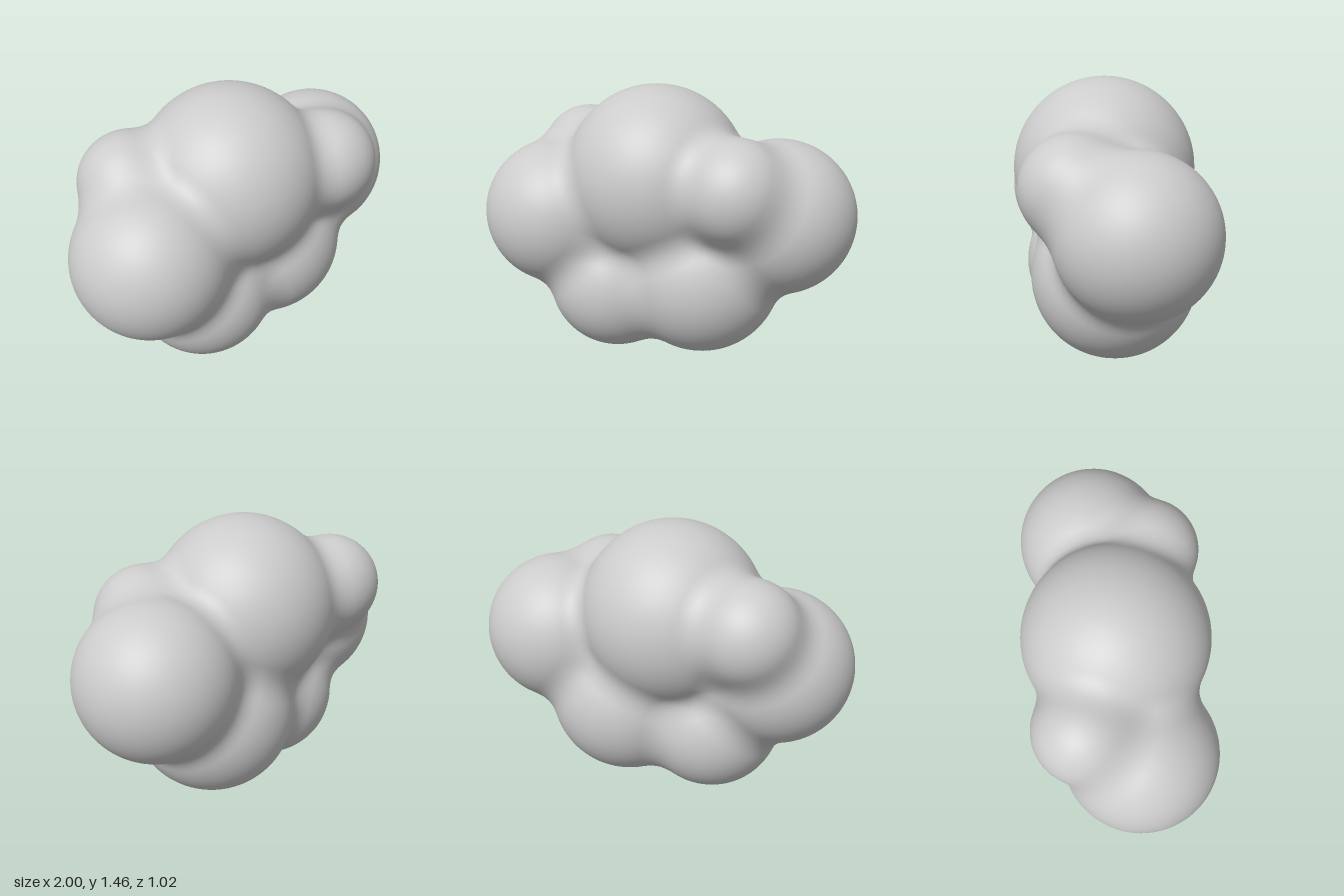
import * as THREE from 'three';

// Puffs of the cloud: centre x, y, z and radius
const PUFFS = [
  [-0.05, 0.98, -0.015, 0.48],  // crown
  [0.2, 0.46, -0.01, 0.435],    // lower left
  [-0.27, 0.38, 0, 0.378],      // lower right
  [-0.6, 0.75, 0.005, 0.4],     // right end
  [0.597, 0.8, -0.015, 0.403],  // left end
  [0.4, 0.99, 0.242, 0.268],    // small front puff
  [-0.5, 1.03, -0.25, 0.265],   // small back puff
];
const BLEND = 0.1;
const STEP = 0.026;
const MIN = [-1.06, -0.06, -0.58];
const SIZE = [82, 62, 45];

// Signed distance to the puffs, with a soft fillet where they meet
function distance(x, y, z) {
  let d = Infinity;
  for (const [cx, cy, cz, r] of PUFFS) {
    const e = Math.hypot(x - cx, y - cy, z - cz) - r;
    const h = Math.max(BLEND - Math.abs(d - e), 0) / BLEND;
    d = Math.min(d, e) - h * h * BLEND / 4;
  }
  return d;
}

function normalAt(p) {
  const e = 0.002;
  return new THREE.Vector3(
    distance(p.x + e, p.y, p.z) - distance(p.x - e, p.y, p.z),
    distance(p.x, p.y + e, p.z) - distance(p.x, p.y - e, p.z),
    distance(p.x, p.y, p.z + e) - distance(p.x, p.y, p.z - e)
  ).normalize();
}

// One vertex per grid cell crossed by the surface, one quad per crossed edge
function cloudGeometry() {
  const [nx, ny, nz] = SIZE;
  const stride = [1, nx, nx * ny];
  const at = (i, j, k) => i + j * nx + k * nx * ny;
  const point = (i, j, k) => new THREE.Vector3(MIN[0] + i * STEP, MIN[1] + j * STEP, MIN[2] + k * STEP);
  const field = new Float32Array(nx * ny * nz);
  for (let k = 0; k < nz; k++) for (let j = 0; j < ny; j++) for (let i = 0; i < nx; i++) {
    const p = point(i, j, k);
    field[at(i, j, k)] = distance(p.x, p.y, p.z);
  }

  const ids = new Int32Array(field.length).fill(-1);
  const positions = [], normals = [], index = [];
  for (let k = 0; k < nz - 1; k++) for (let j = 0; j < ny - 1; j++) for (let i = 0; i < nx - 1; i++) {
    // Average the crossings on the cell's twelve edges
    const sum = new THREE.Vector3();
    let count = 0;
    for (let c = 0; c < 8; c++) for (let axis = 0; axis < 3; axis++) {
      if (c & (1 << axis)) continue;
      const o = [i + (c & 1), j + ((c >> 1) & 1), k + (c >> 2)];
      const a = field[at(...o)], b = field[at(...o) + stride[axis]];
      if ((a < 0) === (b < 0)) continue;
      o[axis] += a / (a - b);
      sum.add(point(...o));
      count++;
    }
    if (!count) continue;
    const p = sum.divideScalar(count);
    // Settle the vertex on the surface
    for (let s = 0; s < 2; s++) p.addScaledVector(normalAt(p), -distance(p.x, p.y, p.z));
    ids[at(i, j, k)] = positions.length / 3;
    positions.push(p.x, p.y, p.z);
    normals.push(...normalAt(p).toArray());
  }

  for (let k = 1; k < nz - 1; k++) for (let j = 1; j < ny - 1; j++) for (let i = 1; i < nx - 1; i++) {
    const n = at(i, j, k);
    for (let axis = 0; axis < 3; axis++) {
      const inside = field[n] < 0;
      if (inside === (field[n + stride[axis]] < 0)) continue;
      const u = stride[(axis + 1) % 3], v = stride[(axis + 2) % 3];
      const q = [ids[n - u - v], ids[n - v], ids[n], ids[n - u]];
      if (!inside) q.reverse();
      index.push(q[0], q[1], q[2], q[0], q[2], q[3]);
    }
  }

  const geometry = new THREE.BufferGeometry();
  geometry.setAttribute('position', new THREE.Float32BufferAttribute(positions, 3));
  geometry.setAttribute('normal', new THREE.Float32BufferAttribute(normals, 3));
  geometry.setIndex(index);
  return geometry;
}

export function createModel() {
  const group = new THREE.Group();
  group.name = 'cloud';
  const body = new THREE.Mesh(cloudGeometry(), new THREE.MeshStandardMaterial({ color: 0xcccccc }));
  body.name = 'cloudBody';
  group.add(body);
  return group;
}
